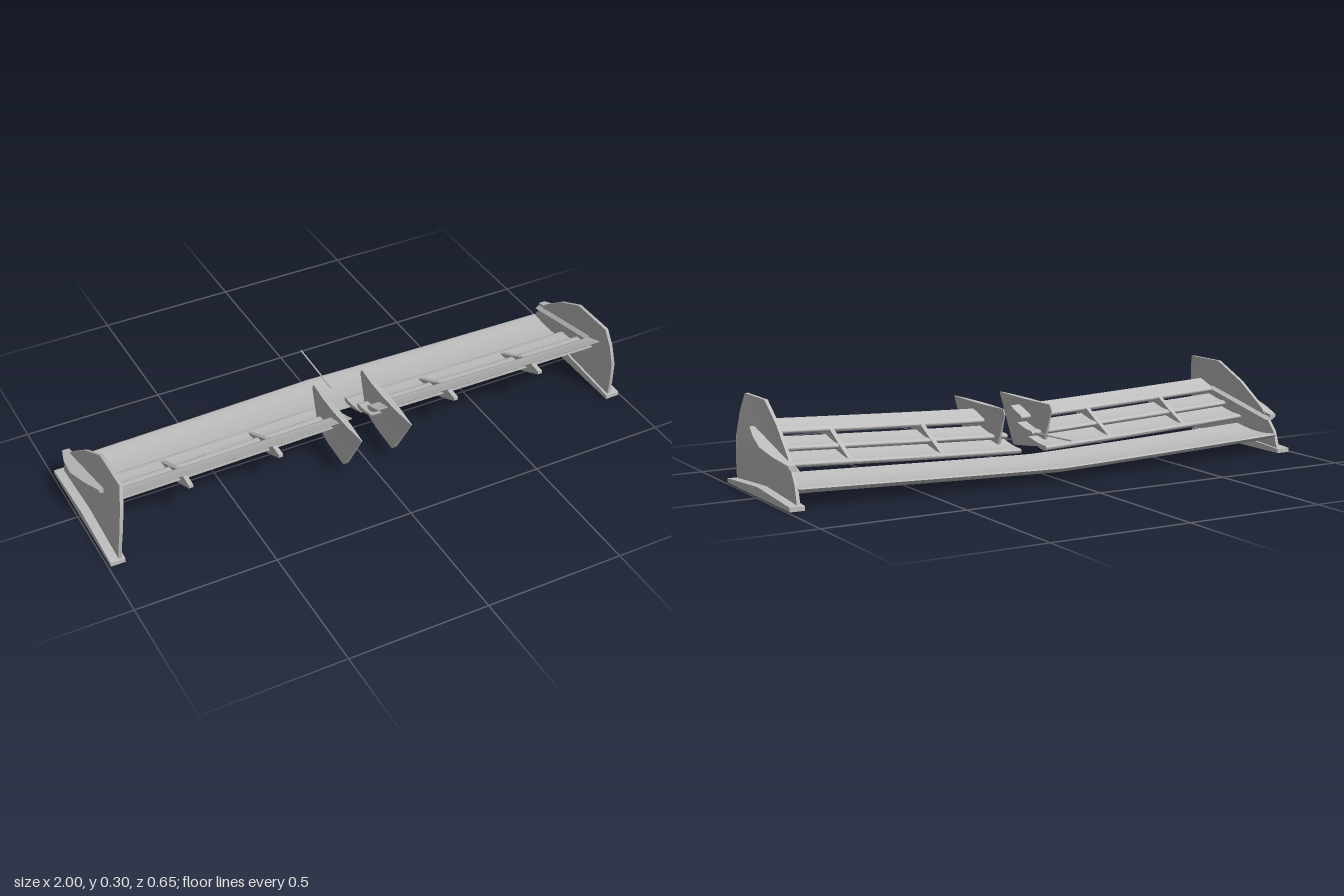
import * as THREE from 'three';
import { toCreasedNormals } from 'three/addons/utils/BufferGeometryUtils.js';

const SPAN = 0.95;
const gray = new THREE.MeshStandardMaterial({ color: 0xbebebe });
gray.name = 'wing gray';

// Moves every vertex by a rule
function warp(geo, rule) {
  const p = geo.attributes.position;
  const v = new THREE.Vector3();
  for (let i = 0; i < p.count; i++) {
    v.fromBufferAttribute(p, i);
    rule(v);
    p.setXYZ(i, v.x, v.y, v.z);
  }
  return geo;
}

// Extrudes a [z, y] outline along x, from x0 to x1
function slab(points, x0, x1, steps = 1) {
  const shape = new THREE.Shape(points.map(([z, y]) => new THREE.Vector2(-z, y)));
  const geo = new THREE.ExtrudeGeometry(shape, { depth: x1 - x0, steps, bevelEnabled: false });
  return geo.rotateY(Math.PI / 2).translate(x0, 0, 0);
}

// Rounds an aerofoil that starts and ends at its sharp trailing edge
function aerofoil(points) {
  const curve = new THREE.SplineCurve(points.map(([z, y]) => new THREE.Vector2(z, y)));
  return curve.getPoints(28).map((p) => [p.x, p.y]);
}

// Sweeps the tips forward and upward
function sweep(rise) {
  return (v) => {
    const t = Math.abs(v.x) / SPAN;
    v.z += 0.05 * t;
    v.y += rise * Math.pow(t, 1.2);
  };
}

export function createModel() {
  const group = new THREE.Group();
  const add = (name, geo) => {
    const mesh = new THREE.Mesh(toCreasedNormals(geo, 0.6), gray);
    mesh.name = name;
    group.add(mesh);
  };

  // Main plane across the full span
  const main = aerofoil([
    [-0.05, 0.056], [-0.13, 0.044], [-0.2, 0.042], [-0.25, 0.046], [-0.277, 0.044],
    [-0.25, 0.027], [-0.2, 0.02], [-0.13, 0.026], [-0.05, 0.053],
  ]);
  add('mainPlane', warp(slab(main, -SPAN, SPAN, 16), sweep(0.02)));

  // Three flaps, each overlapping the one behind it
  const flaps = [
    [[0.045, 0.099], [-0.025, 0.085], [-0.07, 0.082], [-0.08, 0.075], [-0.065, 0.064], [-0.01, 0.075], [0.045, 0.096]],
    [[0.12, 0.137], [0.06, 0.123], [0.025, 0.12], [0.015, 0.112], [0.03, 0.101], [0.07, 0.112], [0.12, 0.134]],
    [[0.167, 0.192], [0.125, 0.175], [0.1, 0.167], [0.09, 0.158], [0.102, 0.148], [0.135, 0.161], [0.167, 0.189]],
  ];

  const plateOutline = [
    [0.272, 0.012], [0.28, 0.075], [0.29, 0.16], [0.28, 0.24], [0.26, 0.304], [0.09, 0.304],
    [-0.035, 0.24], [-0.15, 0.155], [-0.215, 0.075], [-0.235, 0.012],
  ];
  const footOutline = [
    [0.28, 0], [0.28, 0.015], [0.27, 0.016], [0.015, 0.033], [-0.235, 0.016], [-0.25, 0.015], [-0.25, 0],
  ];
  const vaneOutline = [
    [0.325, 0.22], [0.29, 0.165], [0.21, 0.04], [0.1, 0.053], [0.01, 0.065],
    [-0.04, 0.2], [-0.03, 0.22], [0.06, 0.22], [0.14, 0.22], [0.23, 0.22],
  ];
  const bracketOutline = [
    [-0.065, 0.08], [0.02, 0.122], [0.1, 0.166], [0.14, 0.166], [0.19, 0.162], [0.19, 0.15], [0.14, 0.125], [0.05, 0.085], [0, 0.066],
  ];
  const wingletPlan = [[0.935, 0.143], [0.962, 0.143], [0.985, 0.06], [1, -0.03], [0.99, -0.12], [0.97, -0.195], [0.945, -0.195]];

  for (const [s, side] of [[1, 'left'], [-1, 'right']]) {
    // Mirrored slab between two distances from the centre
    const pair = (outline, a, b, steps) => slab(outline, Math.min(s * a, s * b), Math.max(s * a, s * b), steps);

    flaps.forEach((f, i) => add(`${side}Flap${i + 1}`, warp(pair(aerofoil(f), 0.05, 0.938, 8), sweep(0.03))));

    // End plate leaning inward toward its top
    add(`${side}EndPlate`, warp(pair(plateOutline, 0.949, 0.961), (v) => {
      v.x -= s * 0.032 * Math.pow(v.y / 0.304, 2);
    }));
    add(`${side}Foot`, pair(footOutline, 0.94, 0.992));

    // Sloping winglet outside the end plate, chamfered along its lower edge
    const shape = new THREE.Shape(wingletPlan.map(([x, z]) => new THREE.Vector2(s * x, -z)));
    const winglet = new THREE.ExtrudeGeometry(shape, { depth: 0.02, steps: 2, bevelEnabled: false });
    add(`${side}Winglet`, warp(winglet.rotateX(-Math.PI / 2), (v) => {
      if (v.y < 0.005) v.x -= s * 0.015;
      v.y += 0.159 + 0.224 * v.z;
    }));

    // Upright vane by the centre gap, thickest at its middle
    add(`${side}CentreVane`, warp(pair(vaneOutline, 0.083, 0.107), (v) => {
      const fullness = Math.max(0.15, 1 - Math.pow((v.z - 0.14) / 0.19, 2));
      v.x = s * 0.095 + (v.x - s * 0.095) * fullness;
    }));

    // Brackets joining the flaps
    for (const x of [0.34, 0.675]) {
      add(`${side}FlapBracket`, warp(pair(bracketOutline, x - 0.008, x + 0.008), sweep(0.03)));
    }
  }

  // Thin rod behind the centre gap
  const rod = new THREE.CylinderGeometry(0.003, 0.003, 0.238, 8);
  add('centreRod', rod.rotateX(-Math.PI / 2 + 0.042).translate(0, 0.141, -0.204));

  return group;
}
